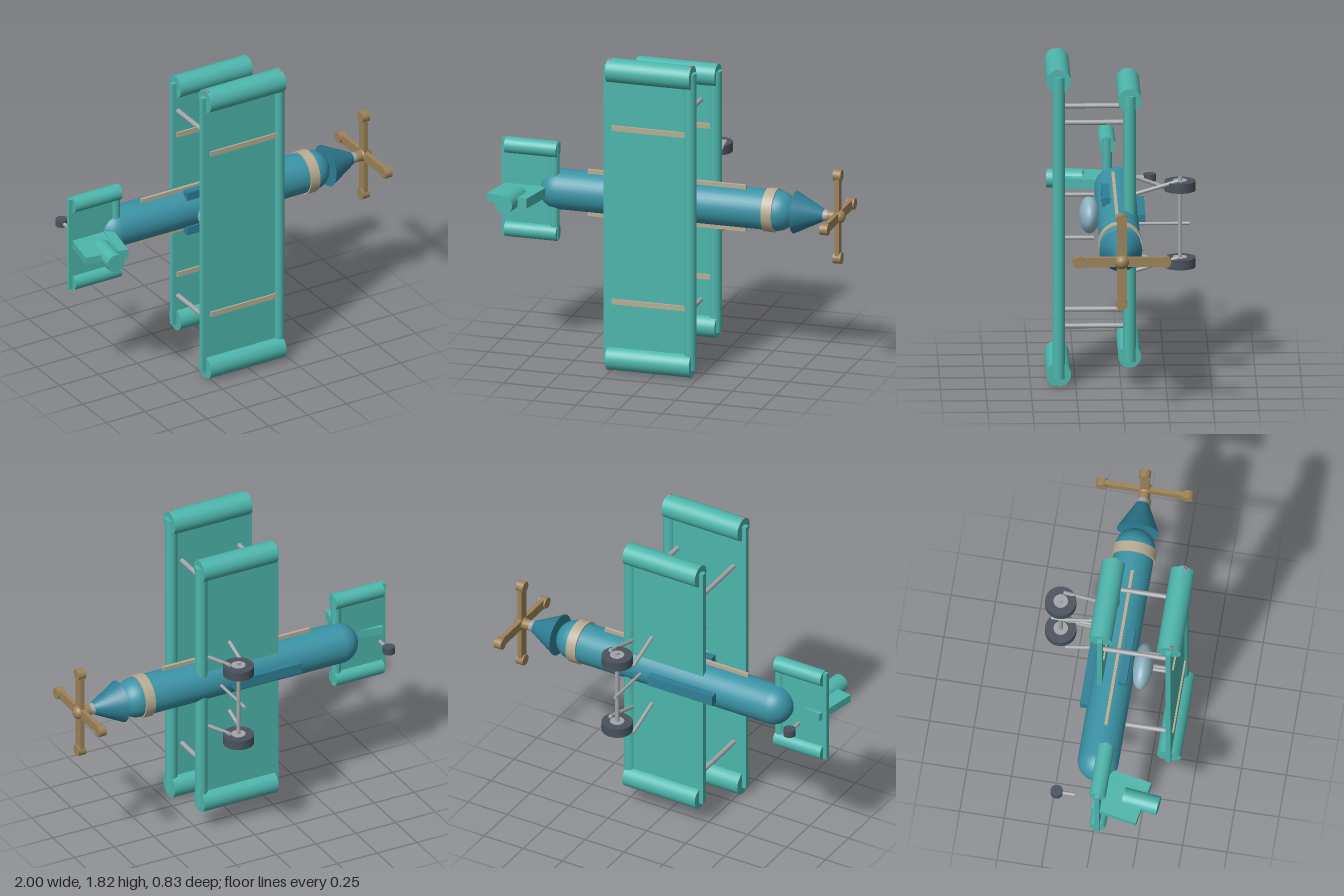
import * as THREE from 'three';

const mat = (color) => new THREE.MeshStandardMaterial({ color });
const AXIS_Y = 0.912, AXIS_Z = 0.013; // fuselage axis runs along x

export function createModel() {
  const model = new THREE.Group();
  const M = {
    wing: mat(0x4db6ac), body: mat(0x3a93a6), dark: mat(0x2f7f96), beige: mat(0xb8ad94), prop: mat(0x9c8259),
    tyre: mat(0x4a525c), metal: mat(0xa3a5a8), glass: mat(0x8fb3c2), lamp: mat(0xd06060),
  };
  const add = (name, geo, material, x = 0, y = 0, z = 0, parent = model) => {
    const mesh = new THREE.Mesh(geo, material);
    mesh.name = name;
    mesh.position.set(x, y, z);
    parent.add(mesh);
    return mesh;
  };
  const box = (name, m, w, h, d, x, y, z, parent) => add(name, new THREE.BoxGeometry(w, h, d), m, x, y, z, parent);
  // Cylinder or cone between two points
  const rod = (name, m, a, b, r, rEnd = r, sides = 24, parent = model) => {
    const p = new THREE.Vector3(...a), q = new THREE.Vector3(...b);
    const dir = q.clone().sub(p);
    const mid = p.clone().add(q).multiplyScalar(0.5);
    const mesh = add(name, new THREE.CylinderGeometry(rEnd, r, dir.length(), sides), m, mid.x, mid.y, mid.z, parent);
    mesh.quaternion.setFromUnitVectors(new THREE.Vector3(0, 1, 0), dir.normalize());
    return mesh;
  };
  const axial = (name, m, x0, x1, r0, r1 = r0, sides = 32) =>
    rod(name, m, [x0, AXIS_Y, AXIS_Z], [x1, AXIS_Y, AXIS_Z], r0, r1, sides);

  // Thin panel, round leading edge and a round end roll at each tip
  const wing = (name, o) => {
    const g = new THREE.Group();
    g.name = name;
    model.add(g);
    const lead = o.front - o.leadR, mid = (o.y0 + o.y1) / 2;
    box('panel', M.wing, lead - o.back, o.y1 - o.y0, o.thick, (lead + o.back) / 2, mid, o.z, g);
    rod('leadingEdge', M.wing, [lead, o.y0, o.z], [lead, o.y1, o.z], o.leadR, o.leadR, 24, g);
    for (const y of o.tipY) rod('tip', M.wing, [o.tipX[0], y, o.z], [o.tipX[1], y, o.z], o.tipR, o.tipR, 32, g);
    for (const y of o.stripes || []) {
      box('stripe', M.beige, 0.432, 0.03, 0.012, o.stripeX, y, o.z + o.thick / 2 + 0.004, g);
    }
  };
  wing('upperWing', {
    back: -0.295, front: 0.24, leadR: 0.035, thick: 0.03, z: 0.345, y0: 0.05, y1: 1.775,
    tipX: [-0.27, 0.218], tipY: [0.073, 1.748], tipR: 0.068, stripes: [0.407, 1.417], stripeX: -0.029,
  });
  wing('lowerWing', {
    back: -0.25, front: 0.262, leadR: 0.035, thick: 0.03, z: -0.047, y0: 0.153, y1: 1.67,
    tipX: [-0.225, 0.24], tipY: [0.18, 1.645], tipR: 0.064, stripes: [0.47, 1.35], stripeX: -0.009,
  });
  wing('tailplane', {
    back: -0.98, front: -0.648, leadR: 0.027, thick: 0.025, z: 0.056, y0: 0.63, y1: 1.193,
    tipX: [-0.957, -0.655], tipY: [0.668, 1.154], tipR: 0.046,
  });
  for (const y of [0.012, 1.81]) {
    for (const x of [-0.262, 0.208]) add('wingLight', new THREE.SphereGeometry(0.011, 12, 8), M.lamp, x, y, 0.357);
  }

  // Fuselage with domed ends
  axial('fuselage', M.body, -0.66, 0.605, 0.114);
  for (const [name, x, turn] of [['tailDome', -0.66, 1], ['noseDome', 0.605, -1]]) {
    const dome = add(name, new THREE.SphereGeometry(0.114, 32, 12, 0, Math.PI * 2, 0, Math.PI / 2), M.body, x, AXIS_Y, AXIS_Z);
    dome.rotation.z = turn * Math.PI / 2;
  }
  axial('noseBand', M.beige, 0.545, 0.605, 0.123);
  axial('noseCone', M.dark, 0.71, 0.875, 0.119, 0.035);
  axial('propellerCollar', M.metal, 0.865, 0.9, 0.034, 0.03);
  axial('propellerShaft', M.prop, 0.895, 0.955, 0.03);
  box('sideStripes', M.beige, 0.92, 0.27, 0.018, -0.03, AXIS_Y, 0.028);
  box('bellyFairing', M.dark, 0.415, 0.06, 0.06, -0.147, AXIS_Y, -0.11);
  for (const s of [-1, 1]) box('sideFairing', M.dark, 0.315, 0.05, 0.045, -0.077, AXIS_Y + s * 0.108, 0.078);
  add('canopy', new THREE.SphereGeometry(1, 32, 20), M.glass, -0.07, AXIS_Y, 0.168).scale.set(0.135, 0.101, 0.057);

  // Four-bladed propeller with round blade tips
  const propeller = new THREE.Group();
  propeller.name = 'propeller';
  propeller.position.set(0.957, AXIS_Y, AXIS_Z);
  model.add(propeller);
  add('hub', new THREE.SphereGeometry(0.04, 24, 16), M.prop, 0.005, 0, 0, propeller).scale.x = 0.95;
  for (let i = 0; i < 4; i++) {
    const blade = new THREE.Group();
    blade.name = 'blade';
    blade.rotation.x = i * Math.PI / 2;
    box('arm', M.prop, 0.026, 0.24, 0.054, 0, 0.122, 0, blade);
    rod('bladeTip', M.prop, [-0.023, 0.241, 0], [0.023, 0.241, 0], 0.032, 0.032, 24, blade);
    propeller.add(blade);
  }

  // Tail fin, leaning back
  const fin = new THREE.Group();
  fin.name = 'tailFin';
  fin.position.set(-0.853, AXIS_Y, 0.17);
  fin.rotation.y = -0.19;
  model.add(fin);
  box('finPanel', M.wing, 0.245, 0.045, 0.265, 0, 0, 0, fin);
  box('finLeadingEdge', M.wing, 0.055, 0.058, 0.268, 0.1, 0, 0, fin);
  rod('finRoll', M.wing, [-0.845, AXIS_Y, 0.185], [-0.868, AXIS_Y, 0.385], 0.053);

  // Struts between the wings and above the fuselage
  for (const y of [0.333, 1.497]) {
    for (const x of [-0.215, 0.145]) rod('wingStrut', M.metal, [x, y, -0.045], [x, y, 0.345], 0.014, 0.014, 16);
  }
  for (const y of [0.79, 1.037]) rod('cabaneStrut', M.metal, [-0.035, y, 0.145], [-0.035, y, 0.34], 0.011, 0.011, 16);

  // Main landing gear
  const WX = 0.145, WZ = -0.328;
  for (const y of [0.696, 1.134]) {
    rod('wheel', M.tyre, [WX, y - 0.027, WZ], [WX, y + 0.027, WZ], 0.087, 0.087, 32);
    rod('wheelHub', M.metal, [WX, y - 0.03, WZ], [WX, y + 0.03, WZ], 0.04);
    rod('frontGearStrut', M.metal, [0.195, y - 0.035, -0.08], [0.195, y + 0.037, -0.32], 0.011, 0.011, 16);
    rod('rearGearStrut', M.metal, [0.068, y + 0.03, -0.08], [0.068, y - 0.047, -0.287], 0.011, 0.011, 16);
  }
  rod('axle', M.metal, [WX, 0.65, WZ], [WX, 1.18, WZ], 0.012, 0.012, 16);
  rod('centreGearStrut', M.metal, [0.13, AXIS_Y, -0.08], [0.13, AXIS_Y, -0.38], 0.009, 0.009, 16);

  // Tail wheel
  rod('tailWheel', M.tyre, [-0.877, AXIS_Y - 0.02, -0.185], [-0.877, AXIS_Y + 0.02, -0.185], 0.034);
  rod('tailWheelStrut', M.metal, [-0.877, AXIS_Y, -0.185], [-0.877, AXIS_Y, -0.083], 0.011, 0.011, 16);

  return model;
}
